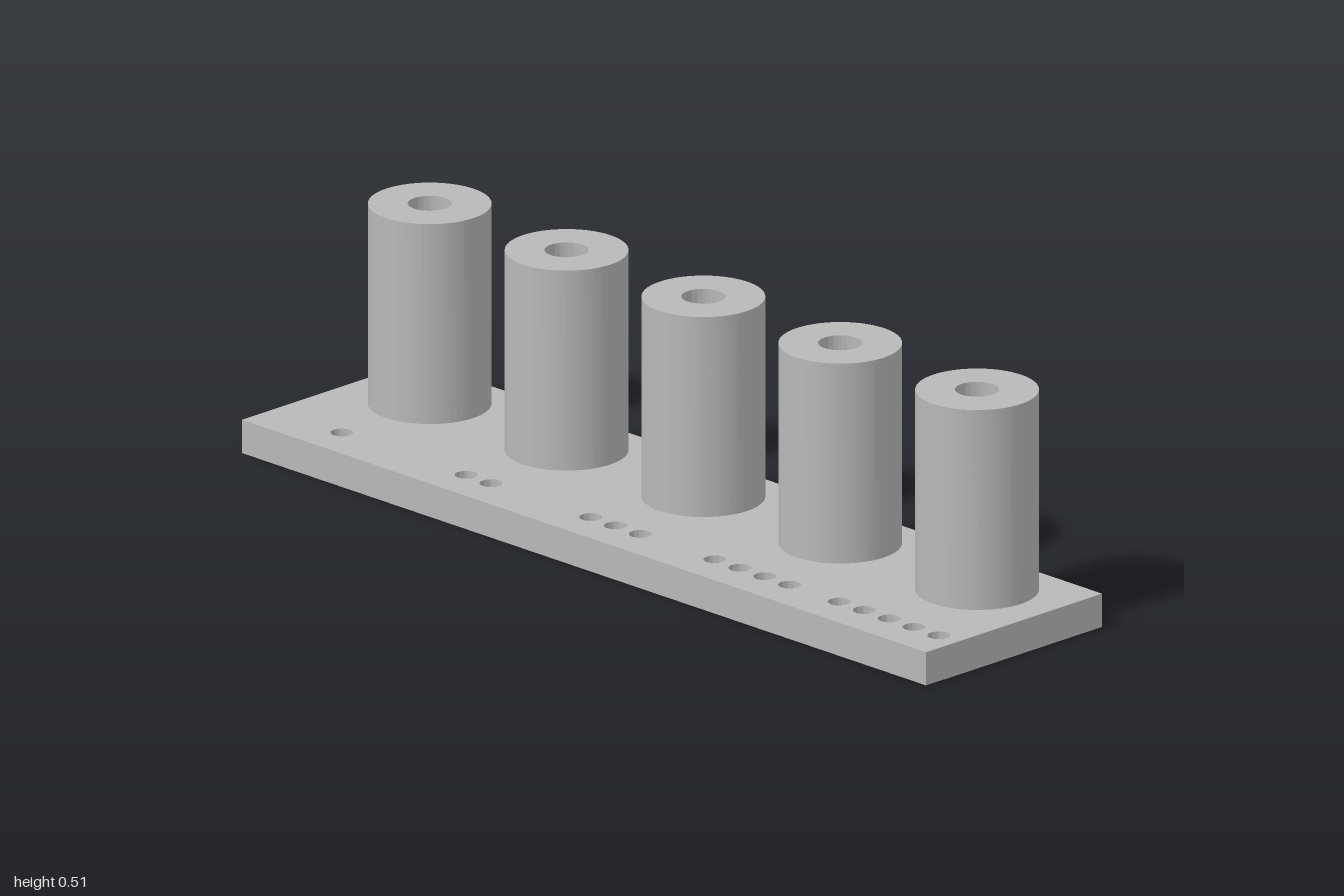
import * as THREE from 'three';
import { toCreasedNormals } from 'three/addons/utils/BufferGeometryUtils.js';

const W = 2, D = 0.509, BASE_H = 0.0727, HOLE_DEPTH = 0.0364;
const POST_R = 0.1273, BORE_R = 0.0455, POST_H = 0.4364, POST_Z = -0.0909;
const DOT_R = 0.0236, DOT_STEP = 0.0727, DOT_Z = 0.1636, SPACING = 0.4;

function circle(Type, x, y, r) {
  const path = new Type();
  path.absarc(x, y, r, 0, Math.PI * 2, false);
  return path;
}

// Extrudes a plan outline upwards (plan y becomes -z)
function extrudeUp(shape, height, curveSegments) {
  const geometry = new THREE.ExtrudeGeometry(shape, { depth: height, bevelEnabled: false, curveSegments });
  geometry.rotateX(-Math.PI / 2);
  return toCreasedNormals(geometry, Math.PI / 6);
}

export function createModel() {
  const model = new THREE.Group();
  model.name = 'countingPegBoard';
  const grey = new THREE.MeshStandardMaterial({ color: 0xb8b8b8 });
  grey.name = 'grey';

  const add = (name, geometry, x, y, z) => {
    const mesh = new THREE.Mesh(geometry, grey);
    mesh.name = name;
    mesh.position.set(x, y, z);
    model.add(mesh);
  };

  // Upper layer of the base, pierced by groups of one to five counting holes
  const plate = new THREE.Shape([
    new THREE.Vector2(-W / 2, -D / 2), new THREE.Vector2(W / 2, -D / 2),
    new THREE.Vector2(W / 2, D / 2), new THREE.Vector2(-W / 2, D / 2),
  ]);
  for (let i = 0; i < 5; i++) {
    for (let k = 0; k <= i; k++) {
      const x = (i - 2) * SPACING + (k - i / 2) * DOT_STEP;
      plate.holes.push(circle(THREE.Path, x, -DOT_Z, DOT_R));
    }
  }
  add('basePlateTop', extrudeUp(plate, HOLE_DEPTH, 32), 0, BASE_H - HOLE_DEPTH, 0);

  // Solid lower layer closes the holes
  const floorH = BASE_H - HOLE_DEPTH;
  add('basePlateBottom', new THREE.BoxGeometry(W, floorH, D), 0, floorH / 2, 0);

  // Five bored posts
  const ring = circle(THREE.Shape, 0, 0, POST_R);
  ring.holes.push(circle(THREE.Path, 0, 0, BORE_R));
  const postGeometry = extrudeUp(ring, POST_H, 64);
  for (let i = 0; i < 5; i++) add(`post${i + 1}`, postGeometry, (i - 2) * SPACING, BASE_H, POST_Z);

  return model;
}
